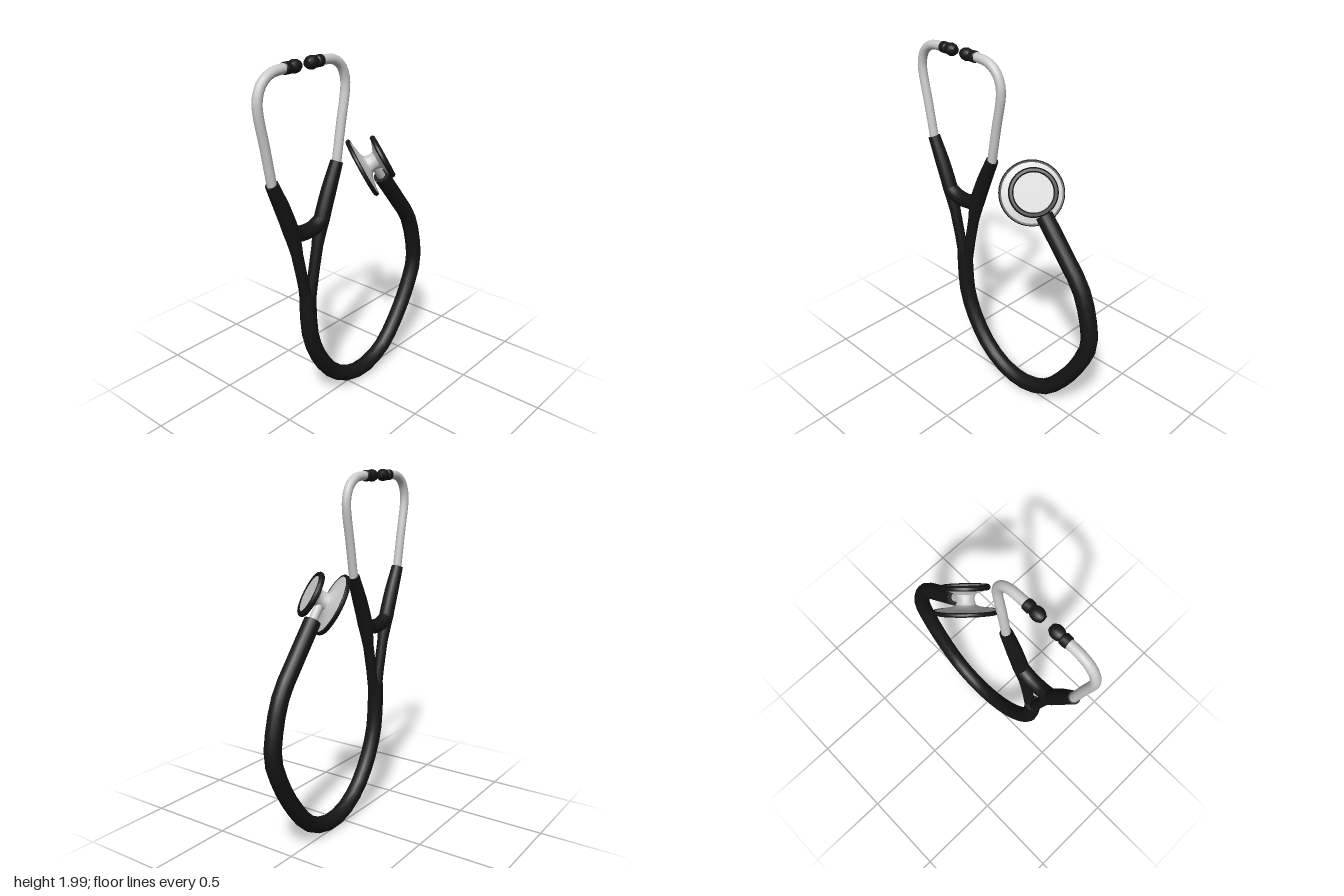
import * as THREE from 'three';
import { toCreasedNormals } from 'three/addons/utils/BufferGeometryUtils.js';

const metal = new THREE.MeshStandardMaterial({ color: 0xcccccc });
const rubber = new THREE.MeshStandardMaterial({ color: 0x151515 });
const Z = 0.013;       // depth of the tubing plane
const MID = -0.338;    // x of the headset's symmetry axis

const curveThrough = (pts) =>
  new THREE.CatmullRomCurve3(pts.map(([x, y]) => new THREE.Vector3(x, y, 0)), false, 'centripetal');

// Capped tube whose radius follows the list of radii spread evenly along its length
function hose(name, pts, radii, segments, material) {
  const group = new THREE.Group();
  group.name = name;
  const curve = curveThrough(pts);
  const sides = 16;
  const geo = new THREE.TubeGeometry(curve, segments, 1, sides, false);
  const pos = geo.attributes.position;
  const v = new THREE.Vector3();
  const radiusAt = (u) => {
    const f = u * (radii.length - 1);
    const i = Math.min(Math.floor(f), radii.length - 2);
    return THREE.MathUtils.lerp(radii[i], radii[i + 1], f - i);
  };
  for (let i = 0; i <= segments; i++) {
    const c = curve.getPointAt(i / segments);
    for (let j = 0; j <= sides; j++) {
      const k = i * (sides + 1) + j;
      v.fromBufferAttribute(pos, k).sub(c).multiplyScalar(radiusAt(i / segments)).add(c);
      pos.setXYZ(k, v.x, v.y, v.z);
    }
  }
  group.add(new THREE.Mesh(geo, material));
  for (const u of [0, 1]) {
    const cap = new THREE.Mesh(new THREE.CircleGeometry(radiusAt(u), sides), material);
    cap.position.copy(curve.getPointAt(u));
    const dir = curve.getTangentAt(u).multiplyScalar(u ? 1 : -1);
    cap.quaternion.setFromUnitVectors(new THREE.Vector3(0, 0, 1), dir);
    group.add(cap);
  }
  group.children.forEach((m) => { m.name = name; });
  return group;
}

// Turned part with crisp edges, profile given as [radius, height]
function turned(name, profile, material, sides = 40) {
  const geo = new THREE.LatheGeometry(profile.map(([r, y]) => new THREE.Vector2(r, y)), sides);
  const mesh = new THREE.Mesh(toCreasedNormals(geo, 0.6), material);
  mesh.name = name;
  return mesh;
}

// One side of the headset: rubber branch, metal ear tube and ear tip
function headsetSide(name, s) {
  const side = new THREE.Group();
  side.name = name;
  const at = (pts) => pts.map(([x, y]) => [s * x, y]);
  side.add(hose('branchTube',
    at([[0.012, 0.7], [0.06, 0.93], [0.109, 1.13], [0.16, 1.265], [0.234, 1.43]]),
    [0.032, 0.03, 0.031, 0.043, 0.041, 0.034], 15, rubber));
  side.add(hose('earTube',
    at([[0.228, 1.4], [0.265, 1.61], [0.302, 1.81], [0.297, 1.865], [0.27, 1.92],
      [0.215, 1.957], [0.12, 1.968]]), [0.025, 0.025], 24, metal));
  const tip = turned('earTip', [[0, 0], [0.025, 0], [0.03, 0.006], [0.03, 0.036], [0.024, 0.042],
    [0.031, 0.055], [0.034, 0.073], [0.031, 0.09], [0.02, 0.108], [0, 0.113]], rubber, 16);
  tip.position.set(s * 0.131, 1.966, 0);
  tip.rotation.z = s * Math.PI / 2;
  side.add(tip);
  return side;
}

export function createModel() {
  const model = new THREE.Group();
  model.name = 'stethoscope';

  // Headset
  const headset = new THREE.Group();
  headset.name = 'headset';
  headset.position.set(MID, 0, Z);
  headset.add(headsetSide('leftSide', 1), headsetSide('rightSide', -1));
  headset.add(hose('crossBar', [[-0.11, 1.14], [-0.05, 1.115], [0, 1.11], [0.05, 1.115], [0.11, 1.14]],
    [0.042, 0.042], 10, rubber));
  model.add(headset);

  // Long looping main tube
  const main = hose('mainTube', [[-0.342, 0.76], [-0.342, 0.63], [-0.325, 0.47], [-0.257, 0.305],
    [-0.15, 0.165], [-0.02, 0.08], [0.135, 0.054], [0.31, 0.115], [0.458, 0.275], [0.564, 0.455],
    [0.613, 0.6], [0.595, 0.75], [0.537, 0.915], [0.415, 1.074], [0.272, 1.248]],
  [0.046, 0.046], 28, rubber);
  main.position.z = Z;
  model.add(main);

  // Metal connector from the main tube into the chestpiece
  const connector = hose('connector', [[0.295, 1.22], [0.245, 1.282], [0.191, 1.348]], [0.024, 0.024], 4, metal);
  connector.position.z = Z;
  model.add(connector);

  // Chestpiece: two discs back to back on a waisted stem, tilted in space
  const chest = new THREE.Group();
  chest.name = 'chestpiece';
  chest.position.set(0.151, 1.318, -0.023);
  chest.quaternion.setFromUnitVectors(new THREE.Vector3(0, 1, 0), new THREE.Vector3(0.64, 0.48, 0.6).normalize());
  chest.add(
    turned('chestpieceBody', [[0.165, 0.007], [0.12, 0.016], [0.07, 0.025], [0.052, 0.036], [0.046, 0.055],
      [0.046, 0.075], [0.052, 0.09], [0.075, 0.1], [0.115, 0.113]], metal),
    turned('largeRim', [[0.155, -0.014], [0.168, -0.014], [0.174, -0.006], [0.174, 0.004],
      [0.169, 0.009], [0.16, 0.008]], rubber),
    turned('largeDiaphragm', [[0, -0.012], [0.158, -0.012]], metal),
    turned('smallRim', [[0.108, 0.111], [0.122, 0.112], [0.128, 0.119], [0.128, 0.13],
      [0.121, 0.139], [0.108, 0.14], [0.1, 0.134]], rubber),
    turned('smallDiaphragm', [[0.103, 0.135], [0, 0.135]], metal),
  );
  model.add(chest);
  return model;
}
